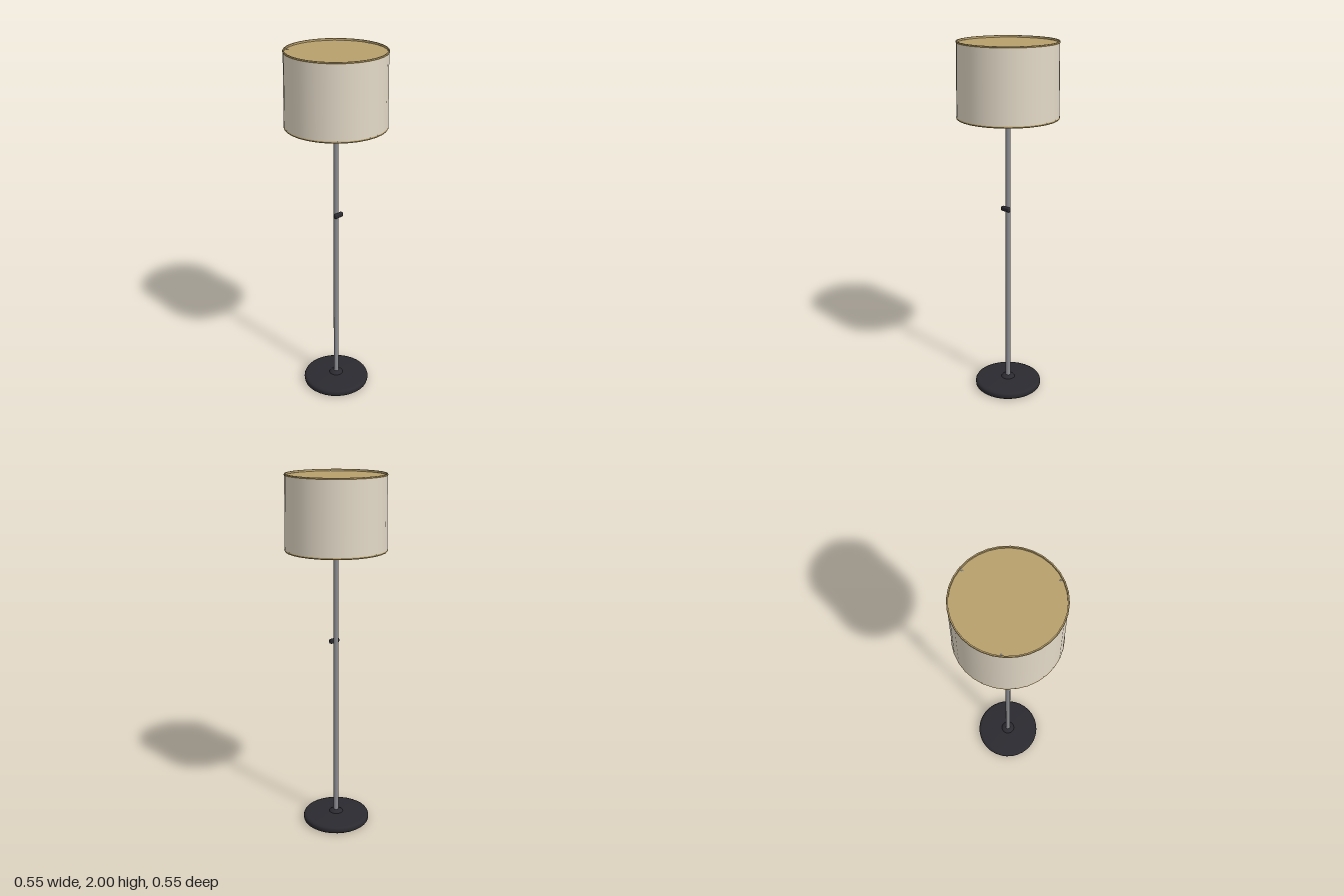
import * as THREE from 'three';
import { RoundedBoxGeometry } from 'three/addons/geometries/RoundedBoxGeometry.js';

const SIDES = 32;

function material(name, color, side = THREE.FrontSide) {
  const m = new THREE.MeshStandardMaterial({ color, side });
  m.name = name;
  return m;
}

export function createModel() {
  const lamp = new THREE.Group();
  lamp.name = 'floorLamp';

  const linen = material('cream linen', 0xe2d8c6, THREE.DoubleSide);
  const brass = material('tan trim', 0xb8a06c);
  const steel = material('grey steel', 0x8b8c90);
  const black = material('black metal', 0x2a2a30);

  const add = (name, geometry, mat, x = 0, y = 0, z = 0, parent = lamp) => {
    const mesh = new THREE.Mesh(geometry, mat);
    mesh.name = name;
    mesh.position.set(x, y, z);
    parent.add(mesh);
    return mesh;
  };
  const lathe = (points) =>
    new THREE.LatheGeometry(points.map(([r, y]) => new THREE.Vector2(r, y)), SIDES);

  // Weighted base: flat underside, rounded edge, gently domed top
  add('base', lathe([
    [0, 0], [0.182, 0], [0.189, 0.006], [0.191, 0.015], [0.191, 0.026],
    [0.187, 0.035], [0.175, 0.04], [0.1, 0.044], [0.04, 0.047], [0, 0.047],
  ]), black);
  add('baseCollar', lathe([
    [0.042, 0.044], [0.036, 0.052], [0.024, 0.058], [0.014, 0.06], [0, 0.06],
  ]), black);

  // Pole and its switch
  add('pole', new THREE.CylinderGeometry(0.014, 0.014, 1.92, 20), steel, 0, 1.01, 0);
  add('switch', new RoundedBoxGeometry(0.022, 0.026, 0.06, 3, 0.007), black, 0.017, 1.094, 0);

  // Slightly tapered drum shade
  const shade = new THREE.Group();
  shade.name = 'shade';
  lamp.add(shade);
  add('shadeWall', new THREE.CylinderGeometry(0.267, 0.273, 0.39, SIDES, 1, true),
    linen, 0, 1.8, 0, shade);

  // Trim bands at both rims
  const band = (r) => lathe([
    [r - 0.006, -0.005], [r, -0.005], [r + 0.002, 0], [r, 0.005], [r - 0.006, 0.005], [r - 0.006, -0.005],
  ]).toNonIndexed();
  for (const [name, r, y] of [['topTrim', 0.268, 1.995], ['bottomTrim', 0.273, 1.605]]) {
    const geometry = band(r);
    geometry.computeVertexNormals();
    add(name, geometry, brass, 0, y, 0, shade);
  }

  // Diffuser discs closing the shade
  add('topDiffuser', new THREE.CylinderGeometry(0.264, 0.264, 0.006, SIDES), brass, 0, 1.986, 0, shade);
  add('bottomDiffuser', new THREE.CylinderGeometry(0.27, 0.27, 0.006, SIDES), brass, 0, 1.604, 0, shade);

  // Three support arms rising from the pole to the top rim
  for (let i = 0; i < 3; i++) {
    const a = Math.PI + (i * Math.PI * 2) / 3;
    const at = (r, y) => new THREE.Vector3(Math.sin(a) * r, y, Math.cos(a) * r);
    const path = new THREE.LineCurve3(at(0.01, 1.95), at(0.264, 1.988));
    add('supportArm', new THREE.TubeGeometry(path, 1, 0.004, 8), steel, 0, 0, 0, shade);
  }

  return lamp;
}
